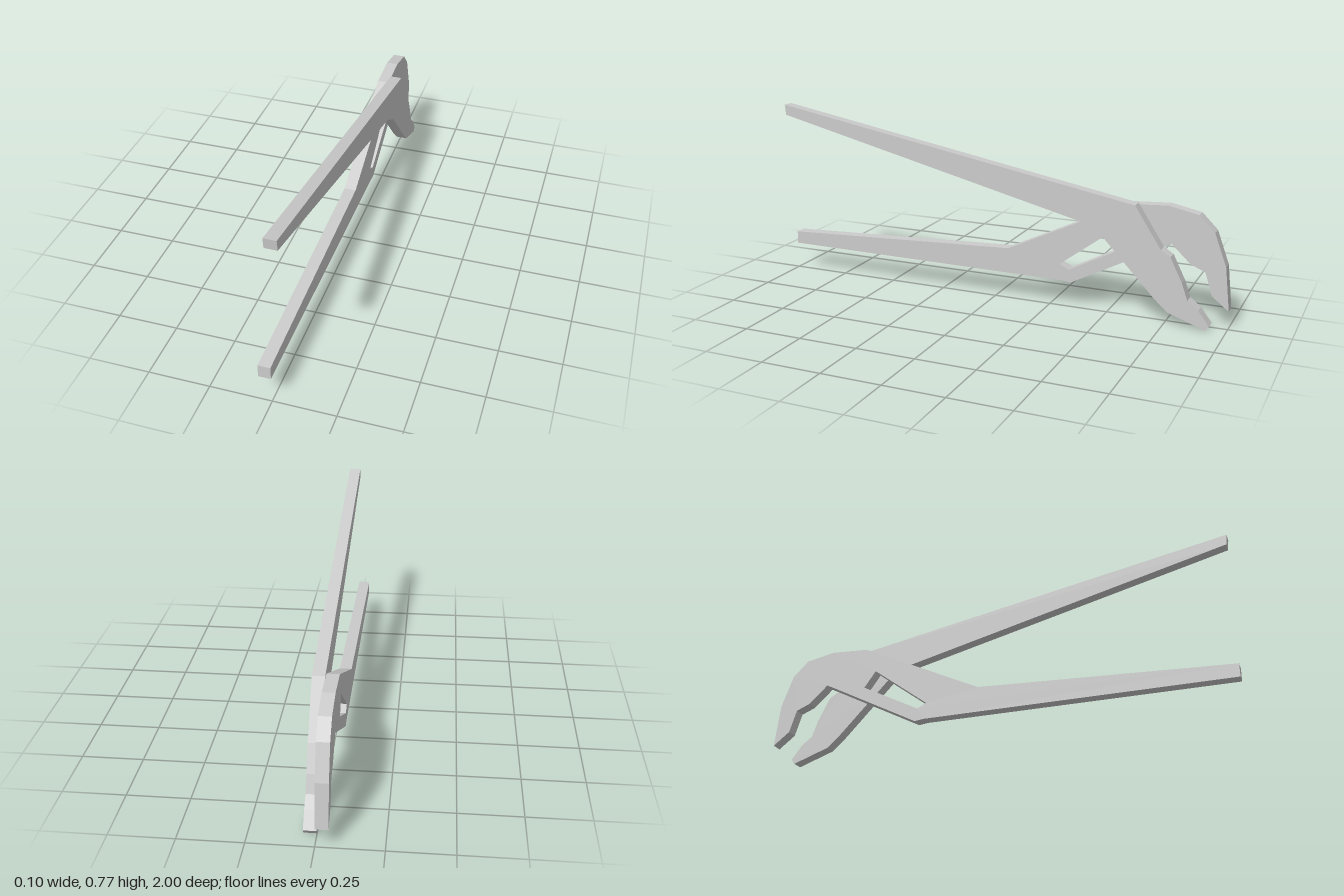
import * as THREE from 'three';

const steel = new THREE.MeshStandardMaterial({ color: 0xcccccc });
steel.name = 'light grey steel';

const THICKNESS = 0.05;

// Profile points are [z, y]; the shape's x axis becomes -z once turned.
const toPoints = (list) => list.map(([z, y]) => new THREE.Vector2(-z, y));

// Flat plate cut from a side profile, spanning x to x + THICKNESS.
function plate(name, x, outline, hole) {
  const shape = new THREE.Shape(toPoints(outline));
  if (hole) shape.holes.push(new THREE.Path(toPoints(hole)));
  const geometry = new THREE.ExtrudeGeometry(shape, { depth: THICKNESS, bevelEnabled: false });
  geometry.rotateY(Math.PI / 2);
  geometry.translate(x, 0, 0);
  const mesh = new THREE.Mesh(geometry, steel);
  mesh.name = name;
  return mesh;
}

export function createModel() {
  const pliers = new THREE.Group();
  pliers.name = 'pliers';

  // Upper handle running down into the lower jaw
  pliers.add(plate('upperHandleAndLowerJaw', 0, [
    [1, 0.77], [-0.62, 0.48], [-0.73, 0.31], [-0.77, 0.285],
    [-0.82, 0.185], [-0.845, 0.115], [-0.89, 0.08], [-0.935, 0.02],
    [-0.92, 0], [-0.765, 0.055], [-0.71, 0.105], [-0.49, 0.335],
    [-0.39, 0.39], [0.995, 0.725],
  ]));

  // Lower handle rising into the hooked upper jaw, with the adjustment slot
  pliers.add(plate('lowerHandleAndUpperJaw', -THICKNESS, [
    [1, 0.17], [-0.06, 0.22], [-0.58, 0.47], [-0.74, 0.48],
    [-0.865, 0.455], [-0.93, 0.39], [-0.98, 0.255], [-1, 0.075],
    [-0.93, 0.13], [-0.9, 0.225], [-0.84, 0.25], [-0.76, 0.325],
    [-0.73, 0.31], [-0.34, 0.105], [-0.3, 0.11], [1, 0.115],
  ], [
    [-0.29, 0.18], [-0.33, 0.16], [-0.58, 0.29], [-0.53, 0.36],
  ]));

  return pliers;
}
